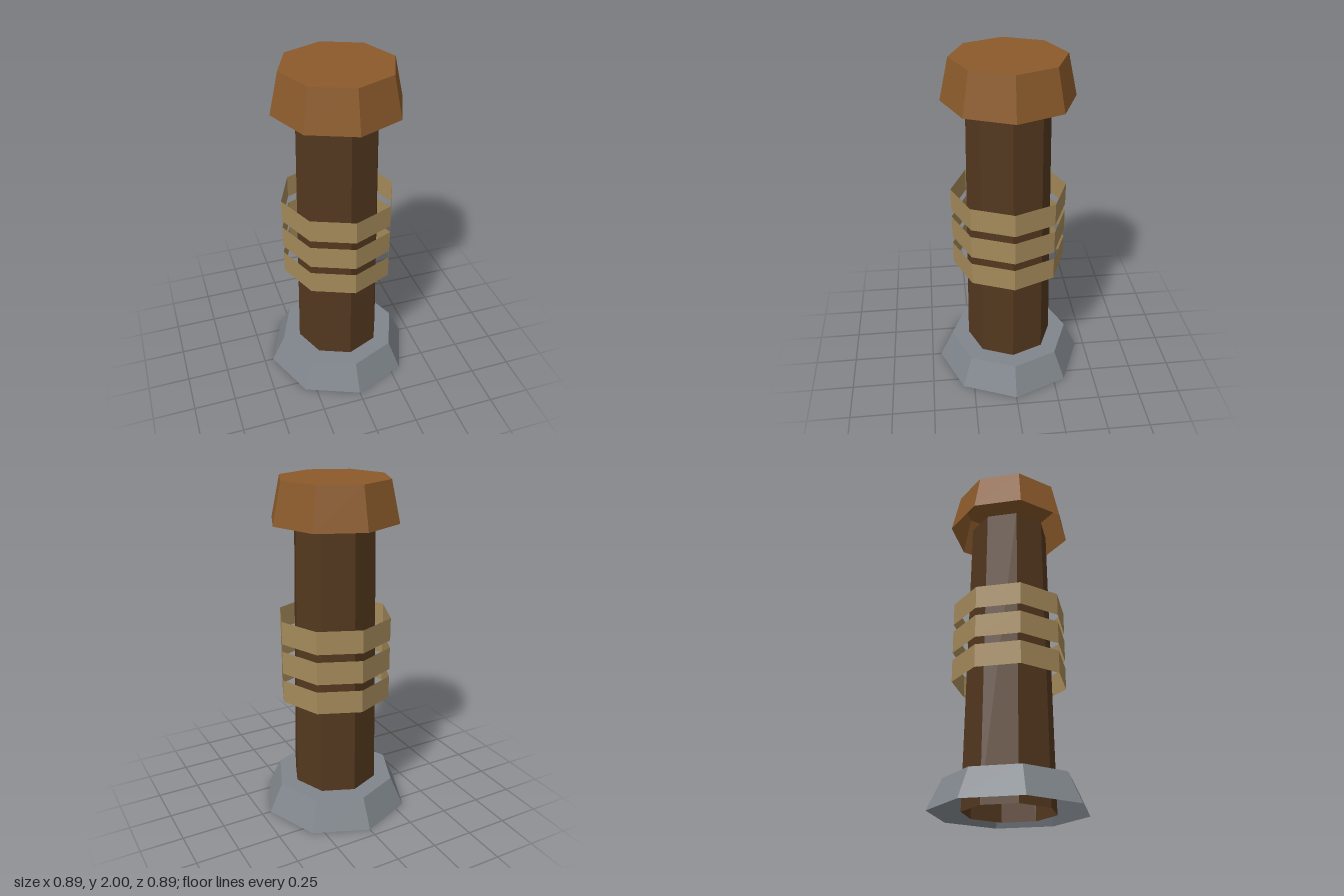
import * as THREE from 'three';

const SIDES = 8;

function material(color) {
  return new THREE.MeshStandardMaterial({ color, flatShading: true, side: THREE.DoubleSide });
}

// Open eight-sided wall between two heights, with an optional lid on top
function octagon(name, mat, y0, y1, r0, r1, lid = false) {
  const part = new THREE.Group();
  part.name = name;
  const wall = new THREE.Mesh(new THREE.CylinderGeometry(r1, r0, y1 - y0, SIDES, 1, true), mat);
  wall.name = name + 'Wall';
  wall.position.y = (y0 + y1) / 2;
  part.add(wall);
  if (lid) {
    const top = new THREE.Mesh(new THREE.CircleGeometry(r1, SIDES), mat);
    top.name = name + 'Top';
    top.rotation.x = -Math.PI / 2;
    top.position.y = y1;
    part.add(top);
  }
  return part;
}

export function createModel() {
  const model = new THREE.Group();
  model.name = 'bollard';

  const stone = material(0x80868c);
  const darkWood = material(0x54381f);
  const wood = material(0x8b5a2b);
  const rope = material(0xa58a5a);

  // Flared stone foot, hollow underneath
  model.add(octagon('base', stone, 0, 0.175, 0.446, 0.365, true));

  // Tapered post running from the ground to the cap
  model.add(octagon('post', darkWood, 0, 1.765, 0.262, 0.235));

  // Three loose rope bands
  for (let i = 0; i < 3; i++) {
    const y = 0.73 + i * 0.18;
    model.add(octagon('ropeBand' + (i + 1), rope, y, y + 0.135, 0.335, 0.335));
  }

  // Wooden cap, hollow underneath
  model.add(octagon('cap', wood, 1.765, 2, 0.37, 0.318, true));

  return model;
}
